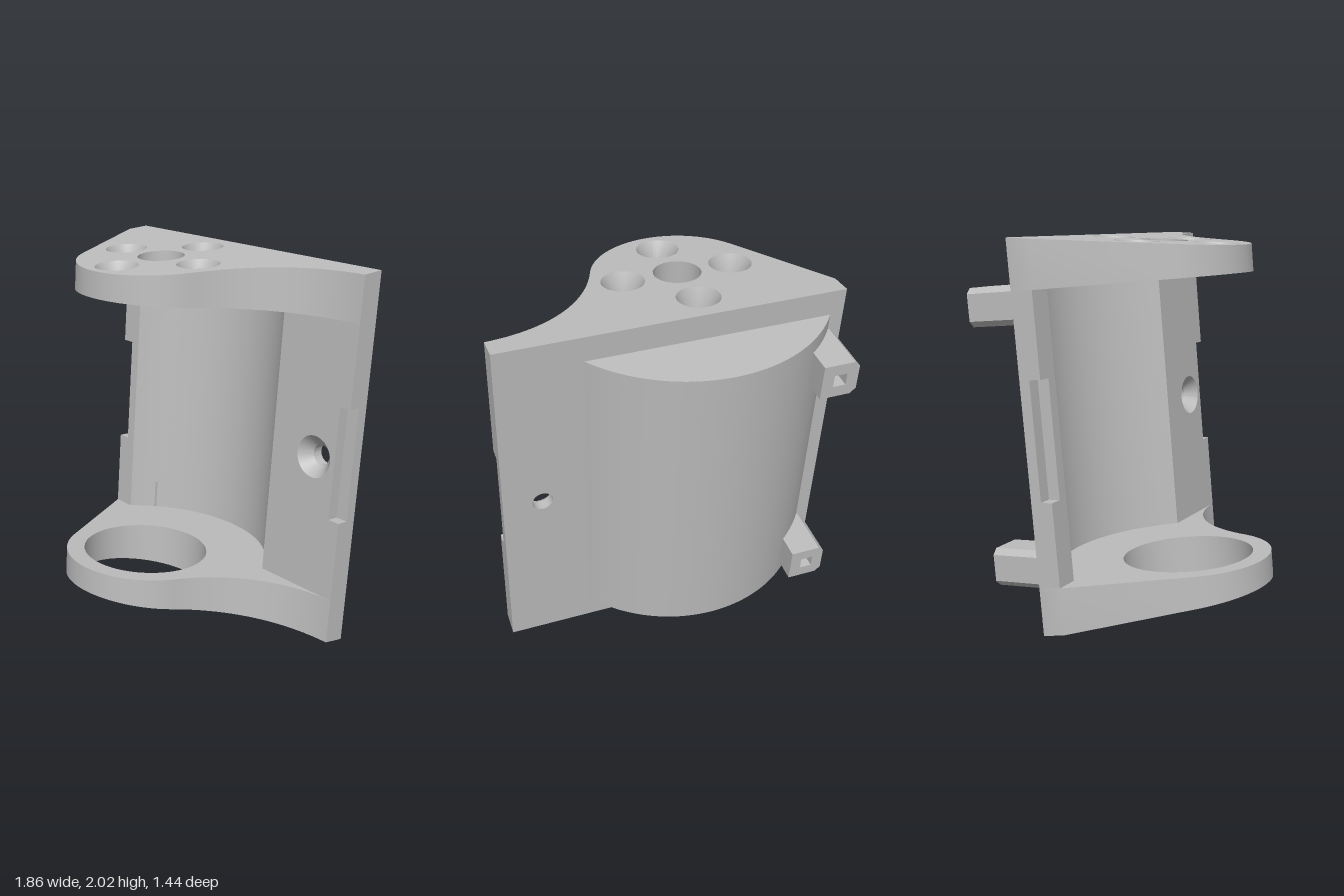
import * as THREE from 'three';
import { toCreasedNormals } from 'three/addons/utils/BufferGeometryUtils.js';

const MID = 0.02;                      // height about which the bracket mirrors
const CX = -0.205, CZ = 0.2;           // axis of the cradle and nose
const FRONT = -0.165, BACK = -0.29;    // faces of the upright plate
const LEFT = 0.905, RIGHT = -0.935;    // ends of the upright plate
const TOP = 0.77, BOTTOM = -0.73;      // inner faces of the flanges

const pt = (x, z) => new THREE.Vector2(x, -z);

// Points of an arc in plan
function arc(cx, cz, r, a0, a1, n = 48) {
  return Array.from({ length: n + 1 }, (_, i) => {
    const a = a0 + (a1 - a0) * i / n;
    return pt(cx + r * Math.cos(a), cz + r * Math.sin(a));
  });
}

// Plan outline (x, z) raised along y
function prism(points, holes, y0, y1) {
  const shape = new THREE.Shape(points);
  for (const [x, z, r] of holes) shape.holes.push(new THREE.Path(arc(x, z, r, 0, Math.PI * 2).slice(0, -1)));
  return new THREE.ExtrudeGeometry(shape, { depth: y1 - y0, bevelEnabled: false, steps: 1 })
    .rotateX(-Math.PI / 2).translate(0, y0, 0);
}

// Front outline (x, y) extended along z
function panel(coords, holes, z0, z1) {
  const shape = new THREE.Shape(coords.map(([x, y]) => new THREE.Vector2(x, y)));
  for (const [x, y, r] of holes) shape.holes.push(new THREE.Path().absarc(x, y, r, 0, Math.PI * 2, true));
  return new THREE.ExtrudeGeometry(shape, { depth: z1 - z0, bevelEnabled: false, curveSegments: 32 })
    .translate(0, 0, z0);
}

// Unit height 0..1 becomes a flange that thins towards the nose
function taper(geo, upper) {
  const p = geo.attributes.position;
  for (let i = 0; i < p.count; i++) {
    const h = p.getY(i) * (0.225 - 0.13 * p.getZ(i));
    p.setY(i, upper ? TOP + h : BOTTOM - 0.225 + 0.13 * p.getZ(i) + h);
  }
  return geo;
}

export function createModel() {
  const plastic = new THREE.MeshStandardMaterial({ color: 0xbdbdbd, side: THREE.DoubleSide });
  plastic.name = 'grey plastic';
  const body = new THREE.Group();
  body.name = 'bracket';
  const add = (name, geo) => {
    const mesh = new THREE.Mesh(toCreasedNormals(geo, 0.6), plastic);
    mesh.name = name;
    body.add(mesh);
  };

  // Flange outline: plate end, straight flank, round nose, sweeping flank
  const sweep = new THREE.CubicBezierCurve(
    pt(CX + 0.455 * Math.cos(0.35), CZ + 0.455 * Math.sin(0.35)),
    pt(0.325, 0.073), pt(0.55, -0.15), pt(LEFT, FRONT));
  const outline = [pt(RIGHT, BACK), pt(RIGHT, FRONT),
    ...arc(CX, CZ, 0.455, 2.625, 0.35, 40), ...sweep.getPoints(28).slice(1), pt(LEFT, BACK)];

  // Top flange with a centre hole and four countersunk holes
  const screws = [0, 1, 2, 3].map(i => [CX + 0.3 * Math.cos(i * Math.PI / 2), CZ + 0.3 * Math.sin(i * Math.PI / 2)]);
  add('topFlange', taper(prism(outline, [[CX, CZ, 0.127], ...screws.map(([x, z]) => [x, z, 0.115])], 0, 1), true));
  const sleeve = [[0.115, 0], [0.055, 0], [0.055, 0.35], [0.115, 1]].map(([r, y]) => new THREE.Vector2(r, y));
  for (const [x, z] of screws) {
    add('countersink', taper(new THREE.LatheGeometry(sleeve, 40).translate(x, 0, z), true));
  }

  // Bottom flange with its wide ring opening
  add('bottomRing', taper(prism(outline, [[CX, CZ, 0.355]], 0, 1), false));

  // Curved cradle wall
  const RO = 0.82, RI = 0.70;
  const ao = Math.asin((CZ - BACK) / RO), ai = Math.asin((CZ - FRONT) / RI);
  const half = RO * Math.cos(ao);
  const outer = arc(CX, CZ, RO, -ao, ao - Math.PI, 64);
  add('cradleWall', prism([...outer, pt(CX - half, FRONT),
    ...arc(CX, CZ, RI, ai - Math.PI, -ai, 64), pt(CX + half, FRONT)], [], BOTTOM, TOP));

  // End caps closing the cradle
  add('cradleTopCap', prism(outer, [], TOP, 0.89));
  add('cradleBottomCap', prism(outer, [], -0.84, BOTTOM));

  // Side plates in two layers; the front layer is notched at the outer edge
  const notch = 0.31, step = FRONT - 0.065;
  const hole = [0.69, MID];
  for (const [name, inner, end, cut] of [
    ['leftPlate', CX + half, LEFT, 0.835], ['rightPlate', CX - half, RIGHT, -0.8625]]) {
    const isLeft = end > 0;
    add(name + 'Back', panel([[inner, BOTTOM], [end, BOTTOM], [end, TOP], [inner, TOP]],
      isLeft ? [[...hole, 0.055]] : [], BACK, step));
    add(name + 'Front', panel([[inner, BOTTOM], [end, BOTTOM], [end, MID - notch], [cut, MID - notch],
      [cut, MID + notch], [end, MID + notch], [end, TOP], [inner, TOP]],
      isLeft ? [[...hole, 0.115]] : [], step, FRONT));
  }
  add('plateCountersink', new THREE.LatheGeometry(
    [new THREE.Vector2(0.055, 0), new THREE.Vector2(0.115, 0.065)], 40)
    .rotateX(Math.PI / 2).translate(...hole, step));

  // Two hollow lugs behind the right edge
  for (const y of [0.7, -0.66]) {
    const w = 0.1, h = 0.1, s = 0.035, c = 0.03, x = -0.8;
    const shape = new THREE.Shape([[-w, -h + c], [-w + c, -h], [w, -h], [w, h], [-w + c, h], [-w, h - c]]
      .map(([a, b]) => new THREE.Vector2(x + a, y + b)));
    shape.holes.push(new THREE.Path([[-s, -s], [-s, s], [s, s], [s, -s]]
      .map(([a, b]) => new THREE.Vector2(x + a, y + b))));
    add('lug', new THREE.ExtrudeGeometry(shape, { depth: 0.3, bevelEnabled: false }).translate(0, 0, -0.585));
  }

  // The whole bracket leans back and turns slightly
  body.rotation.set(-0.0873, -0.0873, 0, 'YXZ');
  body.position.y = 1;
  const model = new THREE.Group();
  model.name = 'mountingBracket';
  model.add(body);
  return model;
}
